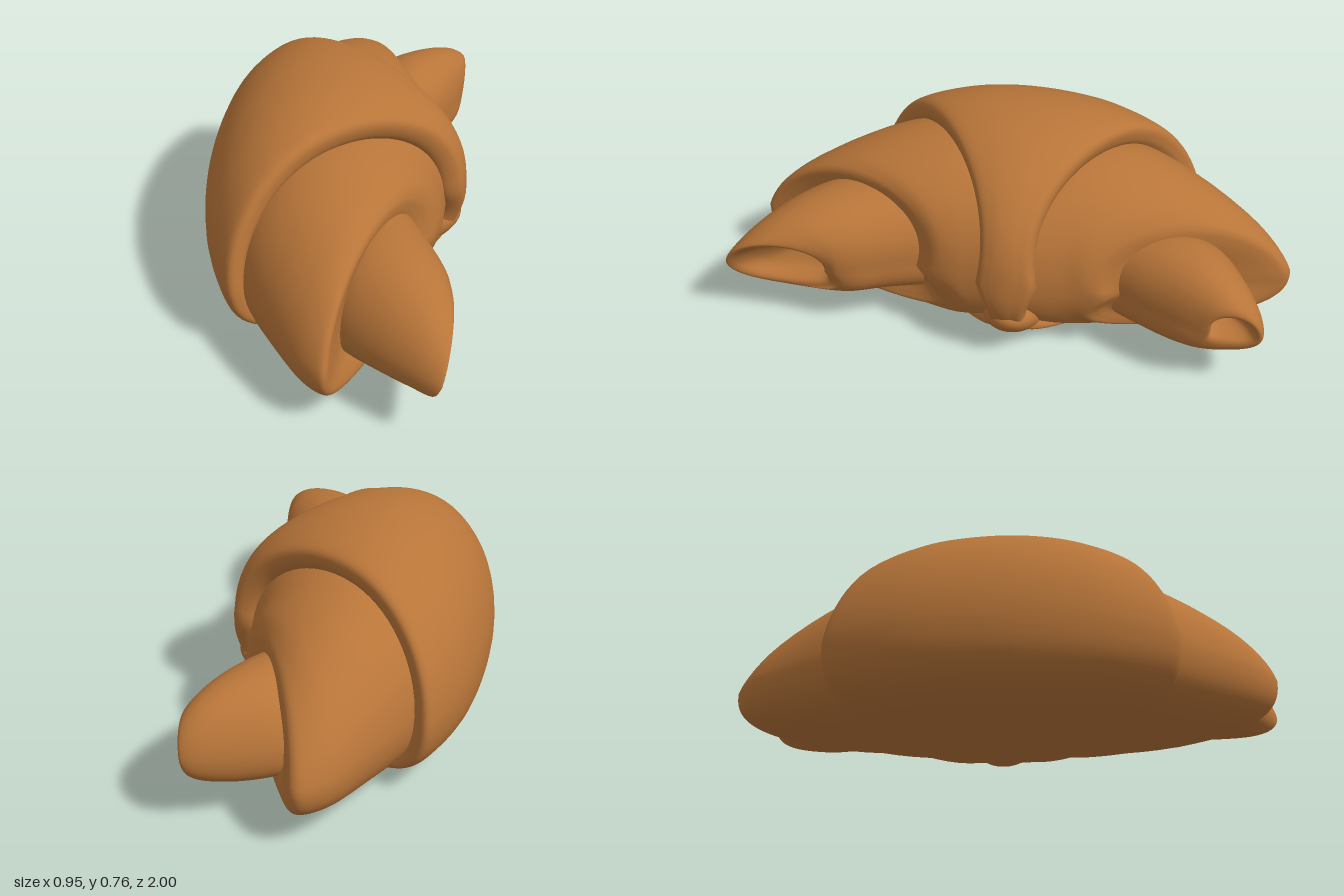
import * as THREE from 'three';

const crust = new THREE.MeshStandardMaterial({ color: 0xb87539, roughness: 0.8 });
const AROUND = 72, PER_STATION = 10;

// signed power for super-ellipse sections
const sp = (v, n) => Math.sign(v) * Math.pow(Math.abs(v), 2 / n);

// A layer of dough lofted through tilted sections running from -z to +z.
// Station: [outerX, outerZ, innerX, innerZ, bottomY, topY, sideways lean of the top]
function doughLayer(name, bow, stations) {
  const spline = f => new THREE.CatmullRomCurve3(stations.map(f), false, 'catmullrom', 0.5);
  const outer = spline(s => new THREE.Vector3(s[0], 0, s[1]));
  const inner = spline(s => new THREE.Vector3(s[2], 0, s[3]));
  const heights = spline(s => new THREE.Vector3(s[4], s[5], s[6] ?? 0));
  const rings = (stations.length - 1) * PER_STATION;
  const pos = [], idx = [];
  for (let i = 0; i <= rings; i++) {
    const t = i / rings;
    const l = outer.getPoint(t), r = inner.getPoint(t), h = heights.getPoint(t);
    const mid = l.clone().add(r).multiplyScalar(0.5);
    const half = r.clone().sub(l).multiplyScalar(0.5);
    const yc = h.x + 0.4 * (h.y - h.x);
    for (let j = 0; j < AROUND; j++) {
      const a = (j / AROUND) * Math.PI * 2, s = Math.sin(a);
      const n = s < 0 ? 2.6 : 2.05; // flatter underside
      const c = sp(Math.cos(a), n), y = sp(s, n);
      // edges swing back over the top and under the inner side
      const swing = bow * (s > 0 ? s : -2 * s * Math.max(Math.cos(a), 0));
      pos.push(
        mid.x + half.x * c + h.z * y,
        yc + y * (s < 0 ? yc - h.x : h.y - yc) + 0.1 * half.x * c ** 3,
        mid.z + half.z * c + 2 * half.z * swing,
      );
      if (i < rings) {
        const k = (j + 1) % AROUND, p = i * AROUND, q = p + AROUND;
        idx.push(p + j, p + k, q + k, p + j, q + k, q + j);
      }
    }
  }
  const geo = new THREE.BufferGeometry();
  geo.setAttribute('position', new THREE.Float32BufferAttribute(pos, 3));
  geo.setIndex(idx);
  geo.computeVertexNormals();
  const mesh = new THREE.Mesh(geo, crust);
  mesh.name = name;
  return mesh;
}

export function createModel() {
  const group = new THREE.Group();
  group.name = 'croissant';

  // Wide outer wrap, narrowing to a band on the inner (+x) side
  group.add(doughLayer('outerWrap', 0.15, [
    [-0.26, -0.54, 0.34, -0.10, 0.08, 0.60, -0.02],
    [-0.28, -0.62, 0.40, -0.14, 0.05, 0.66, -0.03],
    [-0.34, -0.62, 0.45, -0.13, 0.02, 0.72, -0.03],
    [-0.44, -0.36, 0.465, -0.08, 0.01, 0.755, -0.03],
    [-0.475, 0, 0.47, -0.03, 0.005, 0.765, -0.03],
    [-0.44, 0.32, 0.465, 0.02, 0.01, 0.755, -0.03],
    [-0.35, 0.57, 0.45, 0.06, 0.02, 0.72, -0.03],
    [-0.29, 0.58, 0.40, 0.07, 0.05, 0.66, -0.03],
    [-0.27, 0.51, 0.34, 0.04, 0.08, 0.60, -0.02],
  ]));

  // Middle rolls, each ending in a rounded lip that turns inward
  group.add(doughLayer('middleRollFront', 0.15, [
    [-0.38, 0.30, 0.40, 0.00, 0.04, 0.64, -0.03],
    [-0.285, 0.56, 0.39, 0.10, 0.03, 0.64, -0.03],
    [-0.18, 0.74, 0.385, 0.17, 0.03, 0.62, -0.02],
    [-0.08, 0.88, 0.37, 0.23, 0.04, 0.585],
    [-0.01, 0.945, 0.35, 0.27, 0.05, 0.55],
    [0.025, 0.95, 0.32, 0.30, 0.07, 0.52],
    [0.04, 0.90, 0.29, 0.33, 0.11, 0.48],
    [0.07, 0.72, 0.27, 0.38, 0.16, 0.42],
  ]));
  group.add(doughLayer('middleRollBack', 0.15, [
    [-0.38, -0.30, 0.40, -0.03, 0.04, 0.64, -0.03],
    [-0.27, -0.58, 0.385, -0.16, 0.03, 0.64, -0.03],
    [-0.16, -0.78, 0.375, -0.24, 0.04, 0.61, -0.02],
    [-0.07, -0.92, 0.37, -0.31, 0.06, 0.56],
    [0.01, -0.99, 0.36, -0.36, 0.07, 0.51],
    [0.06, -0.998, 0.34, -0.39, 0.09, 0.475],
    [0.09, -0.95, 0.32, -0.42, 0.13, 0.43],
    [0.13, -0.80, 0.31, -0.46, 0.17, 0.37],
  ].reverse()));

  // Inner horn tips, hollow towards +x and closed deep inside
  group.add(doughLayer('hornTipFront', 0.08, [
    [0.01, 0.68, 0.30, 0.30, 0.10, 0.50],
    [0.06, 0.77, 0.355, 0.42, 0.115, 0.50],
    [0.18, 0.87, 0.395, 0.51, 0.13, 0.485],
    [0.30, 0.95, 0.41, 0.575, 0.145, 0.45, 0.015],
    [0.385, 0.995, 0.40, 0.605, 0.155, 0.40, 0.03],
    [0.395, 0.975, 0.385, 0.63, 0.18, 0.37, 0.03],
    [0.34, 0.89, 0.32, 0.64, 0.21, 0.34, 0.02],
    [0.27, 0.72, 0.27, 0.72, 0.28, 0.28],
  ]));
  group.add(doughLayer('hornTipBack', 0.08, [
    [0.08, -0.74, 0.30, -0.39, 0.10, 0.45],
    [0.14, -0.81, 0.36, -0.49, 0.105, 0.46],
    [0.26, -0.875, 0.41, -0.59, 0.12, 0.45],
    [0.37, -0.92, 0.445, -0.67, 0.15, 0.42],
    [0.435, -0.928, 0.46, -0.73, 0.185, 0.375, 0.01],
    [0.445, -0.905, 0.45, -0.75, 0.22, 0.34, 0.01],
    [0.39, -0.86, 0.40, -0.74, 0.24, 0.32],
    [0.30, -0.74, 0.30, -0.74, 0.28, 0.28],
  ].reverse()));

  // End of the outer wrap tucked under the body
  const tail = new THREE.Mesh(new THREE.SphereGeometry(1, 32, 20), crust);
  tail.name = 'tuckedEnd';
  tail.scale.set(0.19, 0.075, 0.11);
  tail.position.set(0.285, 0.108, -0.04);
  tail.rotation.z = 0.45;
  group.add(tail);

  return group;
}
